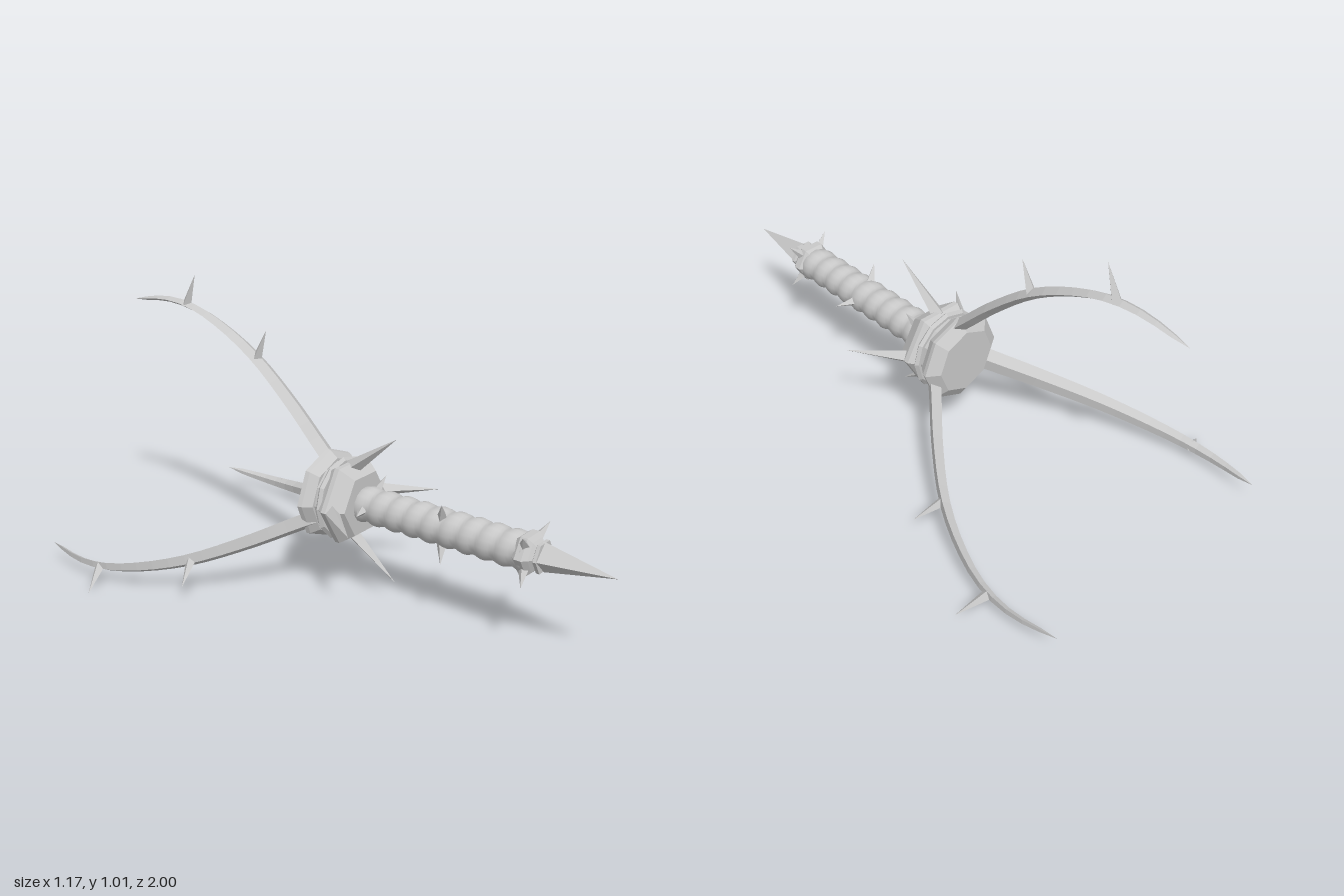
import * as THREE from 'three';
import { mergeVertices } from 'three/addons/utils/BufferGeometryUtils.js';

export function createModel() {
  const root = new THREE.Group();
  root.name = 'spikedTrident';
  // Everything is built around the z axis, then lifted
  const body = new THREE.Group();
  body.name = 'body';
  body.position.y = 0.34;
  root.add(body);

  const steel = new THREE.MeshStandardMaterial({ color: 0xc8c8c8 });
  steel.name = 'steel';

  const V = (x, y, z) => new THREE.Vector3(x, y, z);
  const add = (parent, geo, name) => {
    const m = new THREE.Mesh(geo, steel);
    m.name = name;
    parent.add(m);
    return m;
  };

  // Flat normals on every face
  const faceted = (geo) => {
    const flat = geo.toNonIndexed();
    flat.computeVertexNormals();
    return flat;
  };

  // Faceted solid around z from [radius, z] pairs listed back to front
  const turned = (profile, sides, start, name) => {
    const geo = new THREE.LatheGeometry(profile.map(([r, z]) => new THREE.Vector2(r, z)), sides, start);
    geo.rotateX(Math.PI / 2);
    return add(body, faceted(geo), name);
  };

  // Four-sided spike from base to tip
  const spike = (parent, base, tip, radius, name) => {
    const dir = tip.clone().sub(base);
    const m = add(parent, faceted(new THREE.ConeGeometry(radius, dir.length(), 4)), name);
    m.position.copy(base).add(tip).multiplyScalar(0.5);
    m.quaternion.setFromUnitVectors(V(0, 1, 0), dir.normalize());
    return m;
  };

  // Group whose local +y points outward at an angle counted from +x
  const radial = (degrees, name) => {
    const g = new THREE.Group();
    g.name = name;
    g.rotation.z = THREE.MathUtils.degToRad(degrees - 90);
    body.add(g);
    return g;
  };

  // Hub: octagonal rear, grooved waist disc, hexagonal front
  turned([[0, -0.13], [0.117, -0.13], [0.161, -0.1], [0.157, -0.085], [0.135, -0.055], [0, -0.055]], 8, 0, 'hubRear');
  turned([[0, -0.06], [0.125, -0.06], [0.125, -0.025], [0, -0.025]], 12, 0, 'hubWaist');
  turned([[0, -0.04], [0.135, -0.04], [0.145, -0.03], [0.135, -0.02], [0, -0.02]], 12, 0, 'hubRing');
  turned([[0, -0.025], [0.14, -0.025], [0.154, -0.005], [0.154, 0.012], [0.115, 0.064], [0, 0.064]], 6, Math.PI / 6, 'hubFront');

  // Ribbed handle wound with a single spiral
  const z0 = 0.05, z1 = 0.7;
  let grip = new THREE.CylinderGeometry(1, 1, z1 - z0, 16, 72, true);
  grip.rotateX(Math.PI / 2);
  grip.translate(0, 0, (z0 + z1) / 2);
  const p = grip.attributes.position;
  for (let i = 0; i < p.count; i++) {
    const a = Math.atan2(p.getY(i), p.getX(i));
    const phase = 0.5 * a + (Math.PI * p.getZ(i)) / 0.07;
    const r = 0.055 + 0.01 * Math.abs(Math.sin(phase));
    p.setXY(i, r * Math.cos(a), r * Math.sin(a));
  }
  grip.deleteAttribute('uv');
  grip.deleteAttribute('normal');
  grip = mergeVertices(grip, 1e-5);
  grip.computeVertexNormals();
  add(body, grip, 'handle');

  // Pommel collars and point
  turned([[0, 0.67], [0.06, 0.67], [0.073, 0.685], [0.073, 0.71], [0.058, 0.725], [0.045, 0.735], [0.055, 0.74], [0.055, 0.752], [0, 0.752]], 6, Math.PI / 6, 'pommelCollar');
  spike(body, V(0, 0, 0.745), V(0, 0, 1), 0.052, 'pommelPoint');

  // Small thorns in rings along the handle
  const rings = [
    { z: 0.09, count: 3, first: 60, tip: 0.11 },
    { z: 0.39, count: 3, first: 0, tip: 0.12 },
    { z: 0.7, count: 4, first: 45, tip: 0.118 },
  ];
  for (const { z, count, first, tip } of rings) {
    for (let i = 0; i < count; i++) {
      const g = radial(first + (i * 360) / count, 'handleThorn');
      spike(g, V(0, 0.045, z), V(0, tip, z + 0.02), 0.021, 'thorn');
    }
  }

  // Four large spikes sweeping forward from the hub
  for (let i = 0; i < 4; i++) {
    spike(radial(i * 90, 'hubSpike'), V(0, 0.115, 0.005), V(0, 0.257, 0.19), 0.027, 'spike');
  }

  // Curved prong: diamond section swept along a path, tapering to a point
  const path = new THREE.CatmullRomCurve3([
    V(0, 0.1, -0.06), V(0, 0.145, -0.11), V(0, 0.285, -0.25), V(0, 0.42, -0.41),
    V(0, 0.505, -0.56), V(0, 0.555, -0.7), V(0, 0.567, -0.83), V(0, 0.541, -1),
  ]);
  const steps = 18, pos = [], index = [];
  for (let i = 0; i <= steps; i++) {
    const t = i / steps;
    const c = path.getPointAt(t), d = path.getTangentAt(t);
    const n = V(0, -d.z, d.y); // outward normal within the prong's plane
    const taper = Math.pow(1 - t, 0.45);
    const w = 0.038 * taper, h = 0.023 * taper;
    for (const [x, y] of [[w, 0], [0, h], [-w, 0], [0, -h]]) pos.push(x, c.y + n.y * y, c.z + n.z * y);
    if (i === steps) break;
    for (let k = 0; k < 4; k++) {
      const a = i * 4 + k, b = i * 4 + ((k + 1) % 4);
      index.push(a, b + 4, b, a, a + 4, b + 4);
    }
  }
  const prong = new THREE.BufferGeometry();
  prong.setAttribute('position', new THREE.Float32BufferAttribute(pos, 3));
  prong.setIndex(index);
  const prongGeo = faceted(prong);

  // Three prongs, each with two thorns on its outer edge
  for (const angle of [90, 210, 330]) {
    const g = radial(angle, 'prong');
    add(g, prongGeo, 'prongBlade');
    spike(g, V(0, 0.423, -0.405), V(0, 0.527, -0.363), 0.019, 'prongThorn');
    spike(g, V(0, 0.558, -0.735), V(0, 0.675, -0.69), 0.02, 'prongThorn');
  }

  return root;
}
